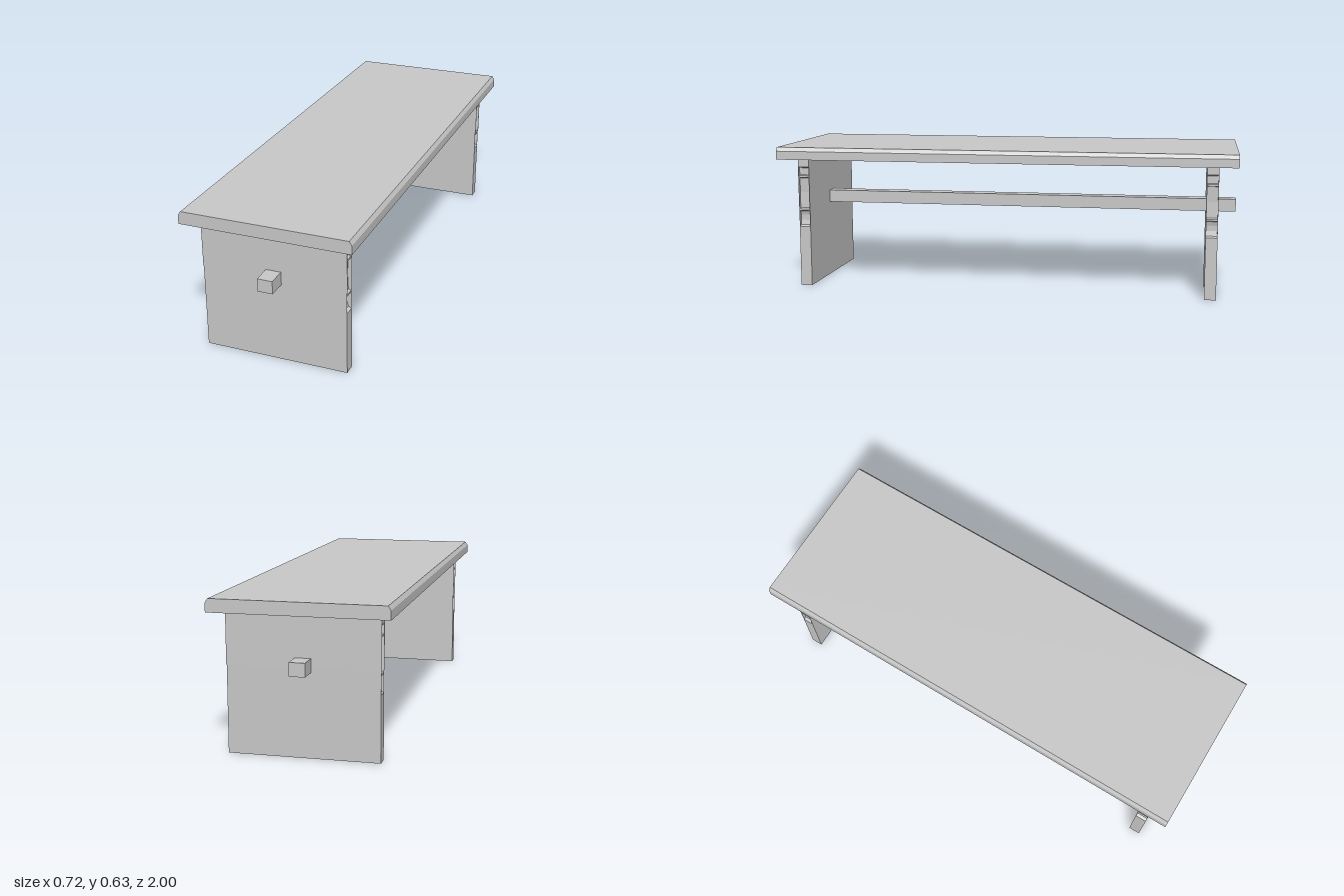
import * as THREE from 'three';

export function createModel() {
  const group = new THREE.Group();
  group.name = 'trestleBench';
  const wood = new THREE.MeshStandardMaterial({ color: 0xc7c7c7, flatShading: true, side: THREE.DoubleSide });
  wood.name = 'greyWood';

  const add = (name, geometry, z = 0, parent = group) => {
    const mesh = new THREE.Mesh(geometry, wood);
    mesh.name = name;
    mesh.position.z = z;
    parent.add(mesh);
  };

  // Closed shape from its right-hand half, listed bottom to top and mirrored
  const mirroredShape = (half) => new THREE.Shape([
    ...half.map(([x, y]) => new THREE.Vector2(x, y)),
    ...half.slice().reverse().map(([x, y]) => new THREE.Vector2(-x, y)),
  ]);
  const extrude = (shape, depth) => new THREE.ExtrudeGeometry(shape, { depth, bevelEnabled: false })
    .translate(0, 0, -depth / 2);

  // Seat board with chamfered long edges
  const seat = mirroredShape([[0.359, 0.572], [0.359, 0.609], [0.348, 0.626]]);
  add('seat', extrude(seat, 2));

  // Stretcher running through both legs
  add('stretcher', new THREE.BoxGeometry(0.064, 0.055, 2).translate(0, 0.3685, 0));

  // Leg core: foot recess below, shaped neck and beads on the side edges
  const core = mirroredShape([
    [0.18, 0.05], [0.19, 0], [0.306, 0], [0.306, 0.268], [0.293, 0.274], [0.288, 0.295],
    [0.288, 0.318], [0.293, 0.336], [0.304, 0.34], [0.304, 0.347], [0.293, 0.352],
    [0.29, 0.42], [0.293, 0.485], [0.304, 0.488], [0.304, 0.496], [0.293, 0.499],
    [0.293, 0.53], [0.304, 0.533], [0.308, 0.54], [0.308, 0.573],
  ]);
  // Flat faces closing the front and back of each leg
  const face = mirroredShape([[0.306, 0], [0.306, 0.355], [0.308, 0.36], [0.308, 0.573]]);

  for (const [name, z] of [['frontLeg', 0.895], ['backLeg', -0.895]]) {
    const leg = new THREE.Group();
    leg.name = name;
    leg.position.z = z;
    group.add(leg);
    add(name + 'Core', extrude(core, 0.046), 0, leg);
    for (const side of [1, -1]) {
      add(name + (side > 0 ? 'FrontFace' : 'BackFace'), extrude(face, 0.002), side * 0.024, leg);
    }
  }
  return group;
}
